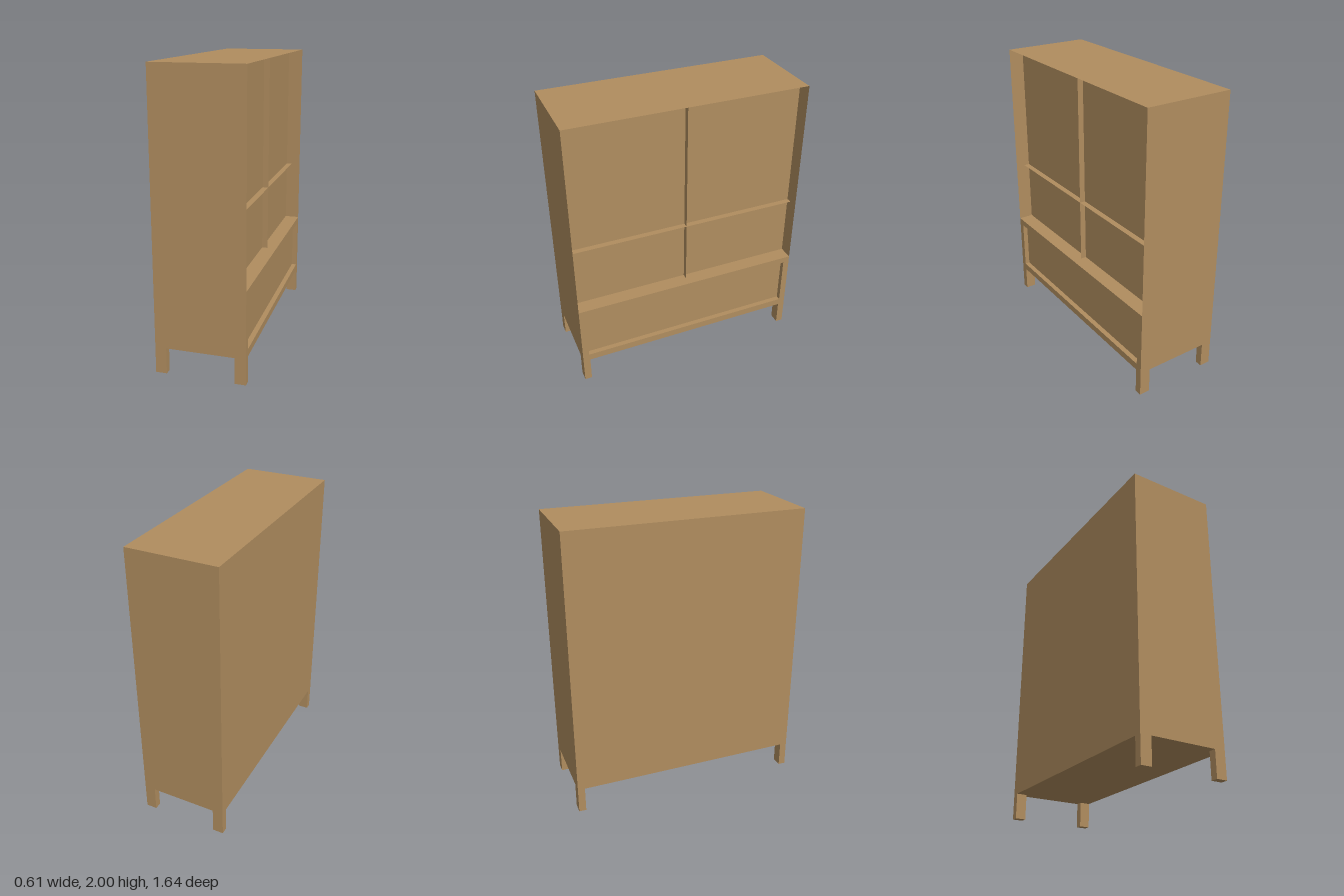
import * as THREE from 'three';

const X = 0.305, Z = 0.82, H = 2;         // half width, half length, height
const LEG_Y = 0.18, LEG_X = 0.075, LEG_Z = 0.05;
const SILL = 0.635;                       // top of the drawer section
const BACK_X = 0.2;                       // plane of the recessed panel
const DRAWER = { y0: 0.23, y1: 0.59, z: 0.775, x: 0.27 };

// Upright outline whose lower corners run down as legs
function leggedShape(half, top, leg) {
  const inner = half - leg;
  return new THREE.Shape([
    [-half, 0], [-inner, 0], [-inner, LEG_Y], [inner, LEG_Y],
    [inner, 0], [half, 0], [half, top], [-half, top],
  ].map(([a, b]) => new THREE.Vector2(a, b)));
}

export function createModel() {
  const group = new THREE.Group();
  const wood = new THREE.MeshStandardMaterial({ color: 0xb08d5f, side: THREE.DoubleSide });
  wood.name = 'wood';

  const add = (name, geometry, x, y, z) => {
    const mesh = new THREE.Mesh(geometry, wood);
    mesh.name = name;
    mesh.position.set(x, y, z);
    group.add(mesh);
    return mesh;
  };
  // Thin sheets facing along each axis
  const sheetY = (name, x0, x1, halfZ, y, up = true) =>
    add(name, new THREE.PlaneGeometry(x1 - x0, 2 * halfZ).rotateX(up ? -Math.PI / 2 : Math.PI / 2), (x0 + x1) / 2, y, 0);
  const sheetX = (name, y0, y1, halfZ, x) =>
    add(name, new THREE.PlaneGeometry(2 * halfZ, y1 - y0).rotateY(Math.PI / 2), x, (y0 + y1) / 2, 0);
  const sheetZ = (name, x0, x1, y0, y1, z) =>
    add(name, new THREE.PlaneGeometry(x1 - x0, y1 - y0), (x0 + x1) / 2, (y0 + y1) / 2, z);

  // Carcass: two end walls, plain rear wall, top and underside
  const endWall = new THREE.ShapeGeometry(leggedShape(X, H, LEG_X));
  add('endWallLeft', endWall, 0, 0, Z);
  add('endWallRight', endWall.clone().rotateY(Math.PI), 0, 0, -Z);
  add('rearWall', new THREE.ShapeGeometry(leggedShape(Z, H, LEG_Z)).rotateY(-Math.PI / 2), -X, 0, 0);
  sheetY('top', -X, X, Z, H);
  sheetY('underside', -X, X, Z, LEG_Y, false);

  // Inner faces and feet of the legs
  for (const sx of [-1, 1]) for (const sz of [-1, 1]) {
    const lx = sx * (X - LEG_X / 2), lz = sz * (Z - LEG_Z / 2);
    add('legFoot', new THREE.PlaneGeometry(LEG_X, LEG_Z).rotateX(Math.PI / 2), lx, 0, lz);
    add('legInnerSide', new THREE.PlaneGeometry(LEG_Z, LEG_Y).rotateY(-sx * Math.PI / 2), sx * (X - LEG_X), LEG_Y / 2, lz);
    add('legInnerEnd', new THREE.PlaneGeometry(LEG_X, LEG_Y).rotateY(sz > 0 ? Math.PI : 0), lx, LEG_Y / 2, sz * (Z - LEG_Z));
  }

  // Lower frame with the drawer opening
  const frame = leggedShape(Z, SILL, LEG_Z);
  const { y0, y1, z, x } = DRAWER;
  frame.holes.push(new THREE.Path([
    new THREE.Vector2(-z, y0), new THREE.Vector2(-z, y1),
    new THREE.Vector2(z, y1), new THREE.Vector2(z, y0),
  ]));
  add('lowerFrame', new THREE.ShapeGeometry(frame).rotateY(Math.PI / 2), X, 0, 0);

  // Recessed drawer and its reveals
  sheetX('drawerFront', y0, y1, z, x);
  sheetY('drawerRevealBottom', x, X, z, y0);
  sheetY('drawerRevealTop', x, X, z, y1, false);
  for (const s of [-1, 1]) sheetZ('drawerRevealSide', x, X, y0, y1, s * z);

  // Open upper section with sill, shelf and divider
  sheetX('recessedPanel', SILL, H, Z, BACK_X);
  sheetY('sill', BACK_X, X, Z, SILL);
  sheetY('shelf', BACK_X, BACK_X + 0.04, Z, 1.085);
  sheetZ('divider', BACK_X, BACK_X + 0.04, SILL, H, 0);

  return group;
}
